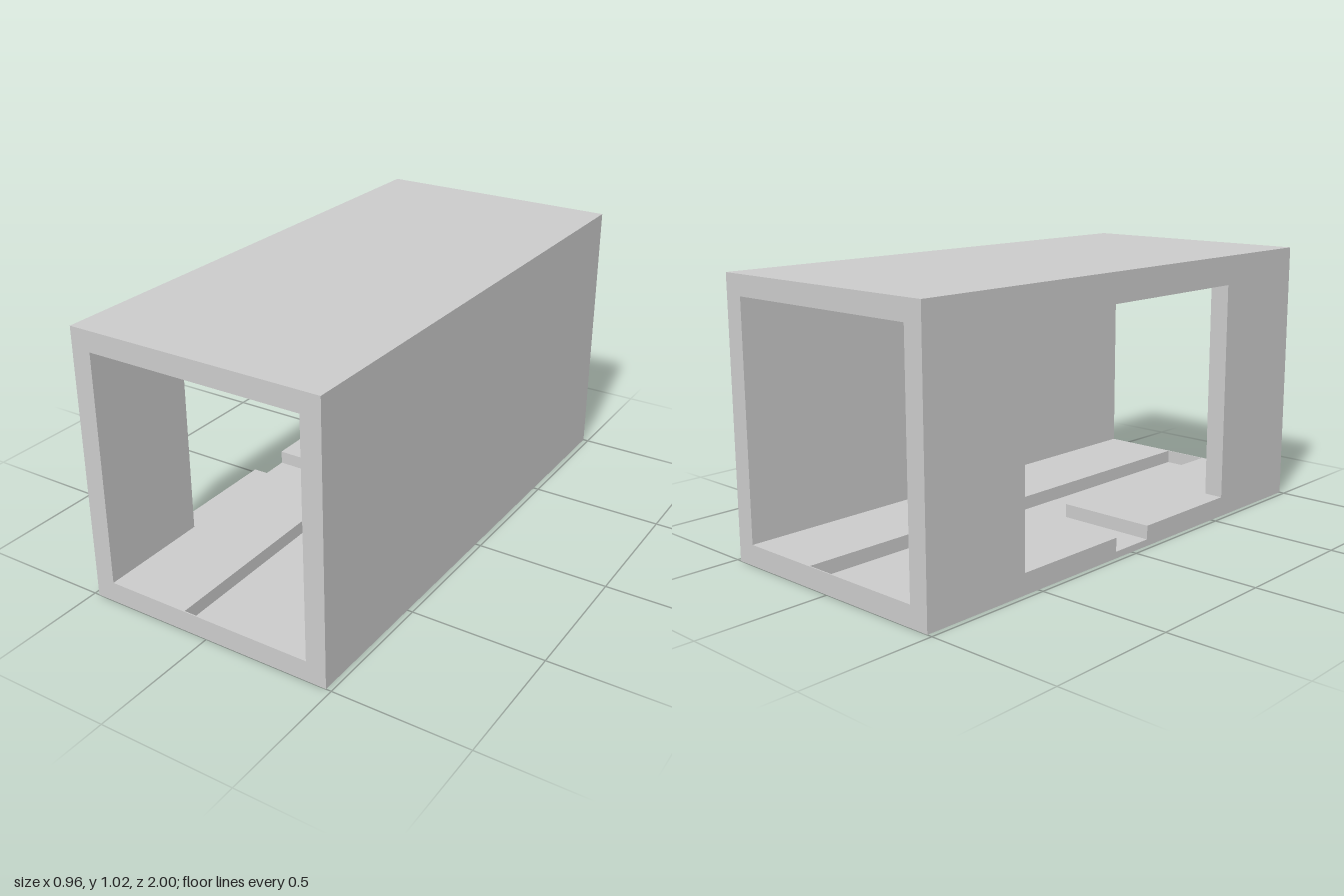
import * as THREE from 'three';

// Overall half sizes and thicknesses
const HX = 0.48, HZ = 1, H = 1.02;
const WALL = 0.075, FLOOR = 0.077, CEILING = 0.945;
// Groove in the floor and doorway in the right wall
const GROOVE = 0.09, GROOVE_Y = 0.025, LIP = 0.004;
const DOOR = 0.565, DOOR_TOP = 0.91;

const material = new THREE.MeshStandardMaterial({ color: 0xcccccc, flatShading: true });

function addMesh(group, name, geometry, x = 0, y = 0, z = 0) {
  const mesh = new THREE.Mesh(geometry, material);
  mesh.name = name;
  mesh.position.set(x, y, z);
  group.add(mesh);
}

function extrude(points, depth) {
  const shape = new THREE.Shape(points.map(([a, b]) => new THREE.Vector2(a, b)));
  return new THREE.ExtrudeGeometry(shape, { depth, bevelEnabled: false });
}

export function createModel() {
  const model = new THREE.Group();
  model.name = 'openTunnelBox';

  // Thin slab under the grooves
  addMesh(model, 'floorBase', new THREE.BoxGeometry(2 * HX, GROOVE_Y, 2 * HZ), 0, GROOVE_Y / 2, 0);

  // Floor layer cut by a T-shaped groove that opens through the doorway,
  // with a thin lip closing the long groove at both ends
  const end = HZ - LIP;
  const deck = extrude([
    [-HX, -HZ], [HX, -HZ], [HX, HZ], [-HX, HZ],
    [-HX, GROOVE], [-GROOVE, GROOVE], [-GROOVE, end], [GROOVE, end],
    [GROOVE, -end], [-GROOVE, -end], [-GROOVE, -GROOVE], [-HX, -GROOVE],
  ], FLOOR - GROOVE_Y);
  deck.rotateX(-Math.PI / 2);
  addMesh(model, 'groovedFloor', deck, 0, GROOVE_Y, 0);

  // Solid left wall and ceiling
  const wallHeight = CEILING - FLOOR;
  addMesh(model, 'leftWall', new THREE.BoxGeometry(WALL, wallHeight, 2 * HZ),
    HX - WALL / 2, FLOOR + wallHeight / 2, 0);
  addMesh(model, 'ceiling', new THREE.BoxGeometry(2 * HX, H - CEILING, 2 * HZ),
    0, (H + CEILING) / 2, 0);

  // Right wall with a doorway reaching down to the floor
  const doorWall = extrude([
    [-HZ, FLOOR], [-DOOR, FLOOR], [-DOOR, DOOR_TOP], [DOOR, DOOR_TOP],
    [DOOR, FLOOR], [HZ, FLOOR], [HZ, CEILING], [-HZ, CEILING],
  ], WALL);
  doorWall.rotateY(-Math.PI / 2);
  addMesh(model, 'rightDoorWall', doorWall, -HX + WALL, 0, 0);

  return model;
}
